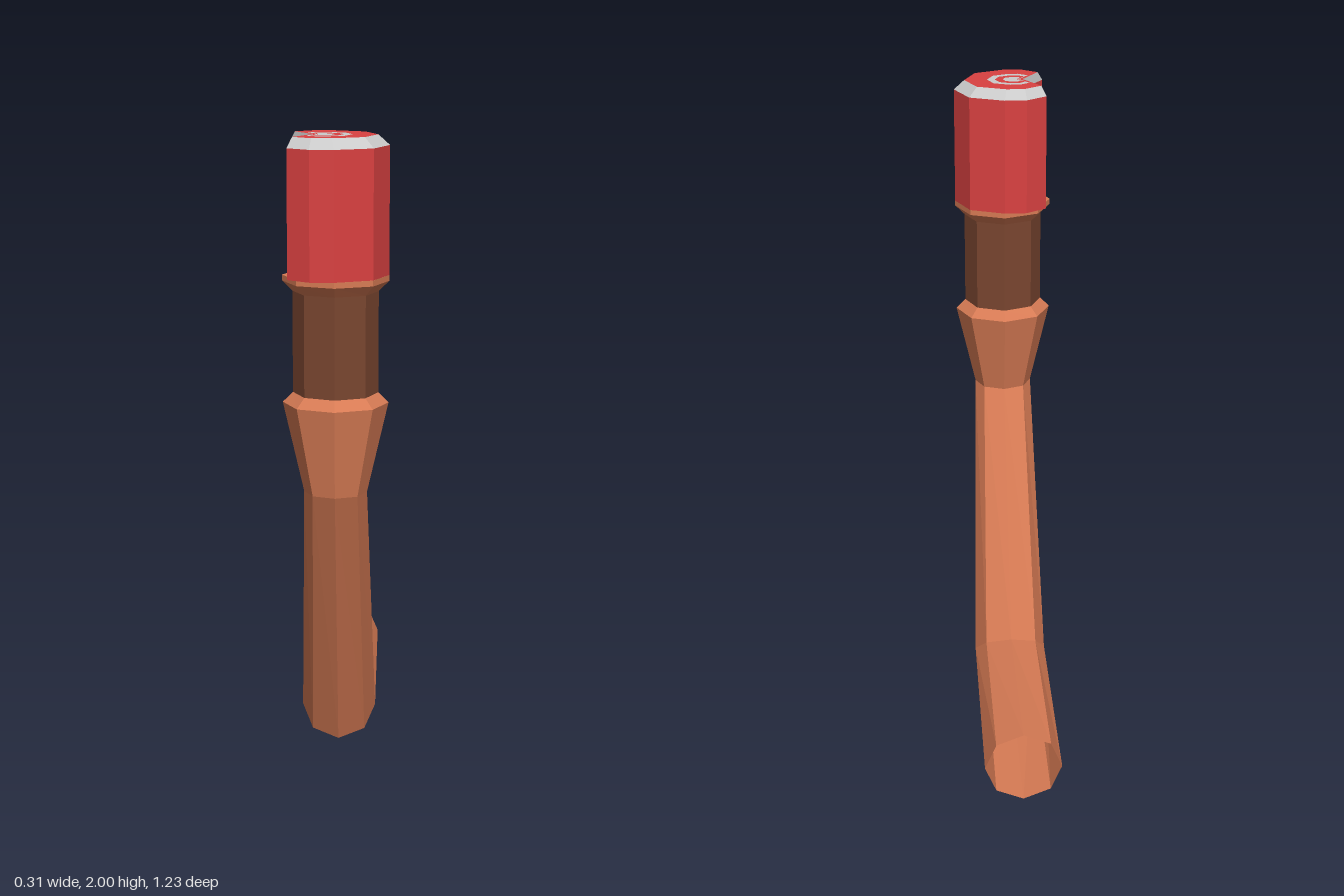
import * as THREE from 'three';

const ORANGE = 0xd97c55, BROWN = 0x7a4630, RED = 0xda4141, GREY = 0xcccccc;

// Skin consecutive rings of [x, y, z] points with flat-shaded quads
function loft(name, color, rings) {
  const pos = [];
  for (let r = 0; r < rings.length - 1; r++) {
    const lo = rings[r], hi = rings[r + 1], n = lo.length;
    for (let i = 0; i < n; i++) {
      const j = (i + 1) % n;
      pos.push(...lo[i], ...hi[i], ...hi[j], ...lo[i], ...hi[j], ...lo[j]);
    }
  }
  const geo = new THREE.BufferGeometry();
  geo.setAttribute('position', new THREE.Float32BufferAttribute(pos, 3));
  geo.computeVertexNormals();
  const mat = new THREE.MeshStandardMaterial({ color, flatShading: true, side: THREE.DoubleSide });
  const mesh = new THREE.Mesh(geo, mat);
  mesh.name = name;
  return mesh;
}

// Octagon centred at (0, y, z): half width rx, other half axis (dy, dz)
function octagon(y, z, rx, dy, dz) {
  return Array.from({ length: 8 }, (_, i) => {
    const a = (i * Math.PI) / 4;
    return [rx * Math.sin(a), y + dy * Math.cos(a), z + dz * Math.cos(a)];
  });
}
const level = (y, rx, rz) => octagon(y, 0.477, rx, 0, -rz);

// Notched outline of the red block, scaled about the middle of its rings
const OUTLINE = [
  [0, 0.338], [0.11, 0.38], [0.155, 0.476], [0.11, 0.572], [0, 0.614],
  [-0.07, 0.614], [-0.135, 0.572], [-0.07, 0.476], [-0.135, 0.38], [-0.07, 0.338],
];
const CX = -0.04, CZ = 0.476;
const notched = (y, s) => OUTLINE.map(([x, z]) => [CX + (x - CX) * s, y, CZ + (z - CZ) * s]);

export function createModel() {
  const group = new THREE.Group();

  // Bent arm, open at the rear end, flaring to a cuff at the top
  group.add(loft('arm', ORANGE, [
    octagon(0.122, -0.615, 0.12, 0.118, 0),
    octagon(0.122, 0.0925, 0.117, 0.083, -0.088),
    octagon(0.95, 0.483, 0.093, 0, -0.082),
    level(1.22, 0.155, 0.137),
    level(1.25, 0.125, 0.112),
  ]));

  // Dark grip band
  group.add(loft('gripBand', BROWN, [level(1.25, 0.125, 0.112), level(1.55, 0.125, 0.112)]));

  // Collar that carries the red block
  group.add(loft('collar', ORANGE, [
    level(1.55, 0.125, 0.112),
    level(1.58, 0.155, 0.137),
    level(1.597, 0.155, 0.137),
    level(1.597, 0, 0),
  ]));

  // Notched red block with a grey bevel and ringed top
  const head = new THREE.Group();
  head.name = 'head';
  head.add(loft('headWall', RED, [notched(1.597, 1), notched(1.97, 1)]));
  head.add(loft('headBevel', GREY, [notched(1.97, 1), notched(2, 0.83)]));
  const scales = [0.83, 0.46, 0.33, 0.2, 0];
  for (let i = 0; i < 4; i++) {
    head.add(loft(`topRing${i + 1}`, i % 2 ? GREY : RED, [notched(2, scales[i]), notched(2, scales[i + 1])]));
  }
  group.add(head);
  return group;
}
